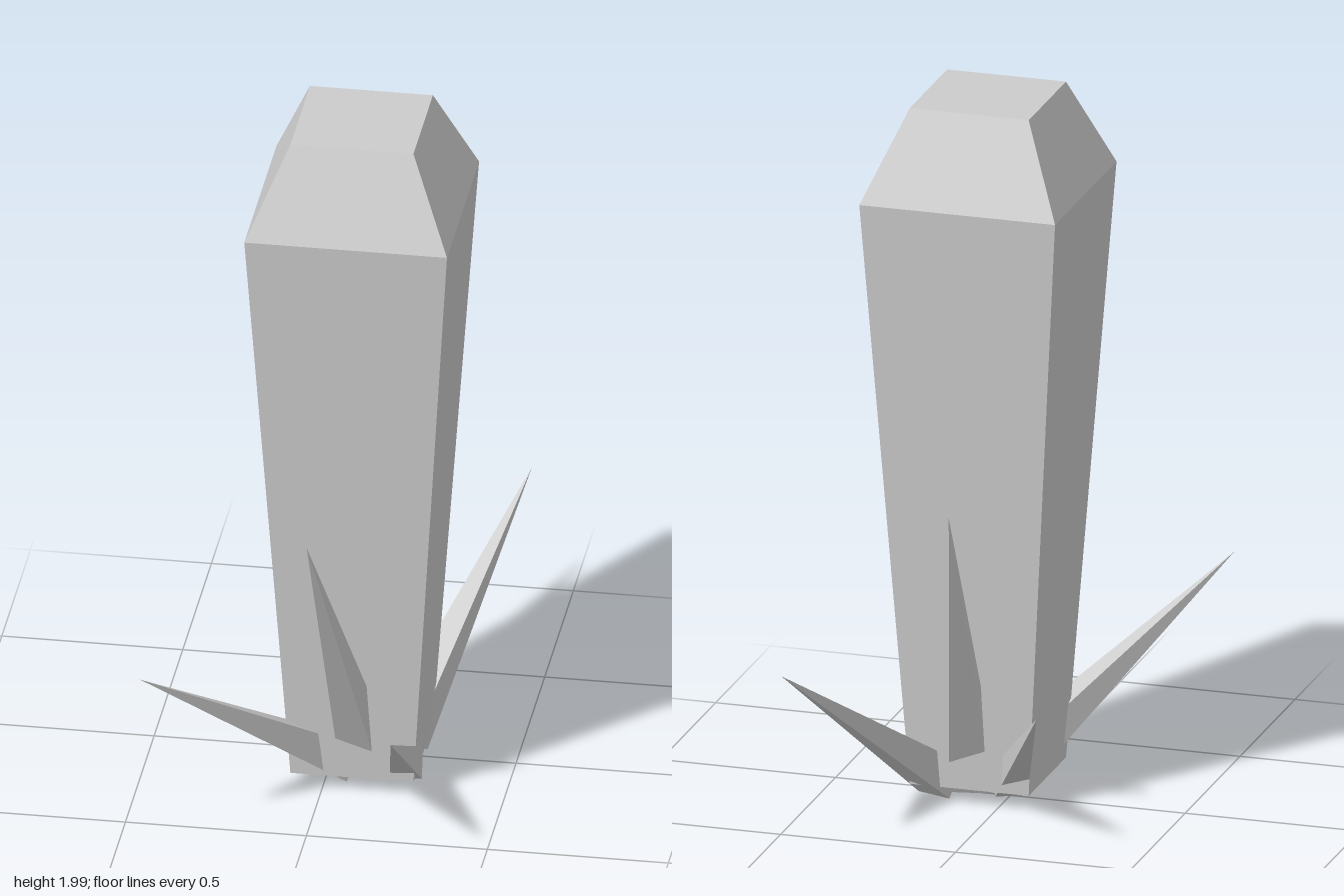
import * as THREE from 'three';

export function createModel() {
  const model = new THREE.Group();
  const material = new THREE.MeshStandardMaterial({ color: 0xcccccc, flatShading: true });

  // Square-section pillar: turn the four-sided lathe 45 degrees so its faces look along the axes
  const corner = (half, y) => new THREE.Vector2(half * Math.SQRT2, y);
  const pillarGeometry = new THREE.LatheGeometry([
    new THREE.Vector2(0, 0.05),
    corner(0.17, 0.05),
    corner(0.28, 1.745),
    corner(0.17, 2),
    new THREE.Vector2(0, 2),
  ], 4).rotateY(Math.PI / 4);
  const pillar = new THREE.Mesh(pillarGeometry, material);
  pillar.name = 'mainCrystal';
  pillar.position.set(0.083, 0, 0.06);
  model.add(pillar);

  // Square pyramid from a base centre to a tip
  function addSpike(name, base, tip, width) {
    const from = new THREE.Vector3(...base);
    const to = new THREE.Vector3(...tip);
    const length = from.distanceTo(to);
    const geometry = new THREE.ConeGeometry(width / Math.SQRT2, length, 4)
      .rotateY(Math.PI / 4)
      .translate(0, length / 2, 0)
      .rotateX(Math.PI / 2);
    const spike = new THREE.Mesh(geometry, material);
    spike.name = name;
    spike.position.copy(from);
    spike.lookAt(to);
    model.add(spike);
  }

  // Three spikes lean forward and three lean back
  addSpike('frontRightSpike', [0.04, 0.05, 0.12], [-0.435, 0.54, 0.66], 0.105);
  addSpike('frontTallSpike', [0.105, 0.05, 0.12], [0.025, 0.985, 0.655], 0.115);
  addSpike('frontLeftSpike', [0.216, 0.05, 0.12], [0.265, 0.42, 0.705], 0.088);
  addSpike('backRightSpike', [0.0, 0.05, 0.0], [-0.238, 0.42, -0.52], 0.088);
  addSpike('backTallSpike', [0.108, 0.05, -0.003], [0.005, 0.985, -0.545], 0.115);
  addSpike('backLeftSpike', [0.19, 0.05, -0.03], [0.432, 0.54, -0.712], 0.105);

  return model;
}
